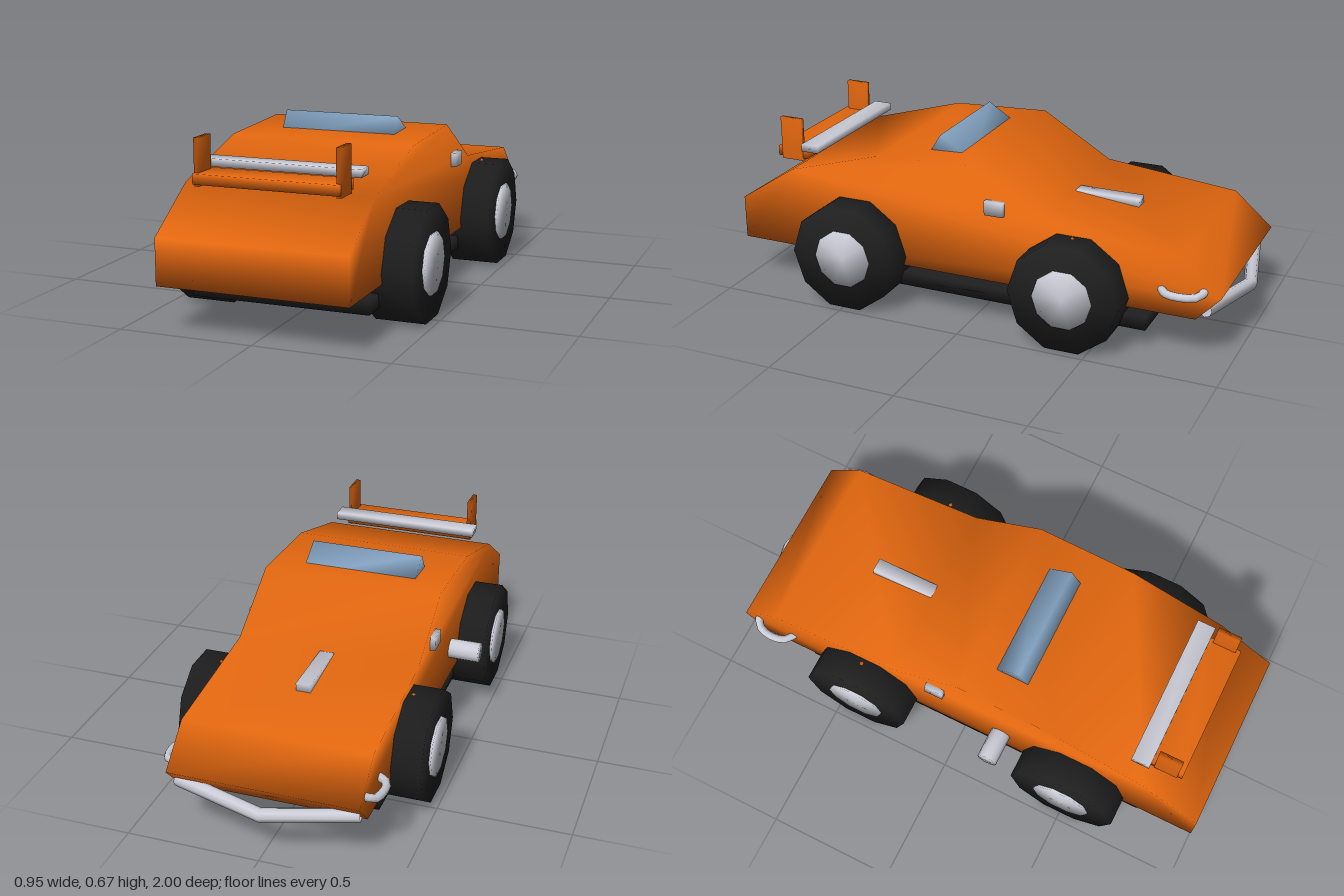
import * as THREE from 'three';
import { mergeVertices } from 'three/addons/utils/BufferGeometryUtils.js';

const mat = (name, color, side = THREE.FrontSide) => {
  const m = new THREE.MeshStandardMaterial({ color, side });
  m.name = name;
  return m;
};

// Weld the corners so shading flows softly over every edge
function smooth(geo) {
  geo.deleteAttribute('normal');
  geo.deleteAttribute('uv');
  const g = mergeVertices(geo, 1e-4);
  g.computeVertexNormals();
  return g;
}

// Side profile of [z, y] points extruded across x
function profile(points, halfWidth) {
  const shape = new THREE.Shape(points.map(([z, y]) => new THREE.Vector2(z, y)));
  const g = new THREE.ExtrudeGeometry(shape, { depth: halfWidth * 2, bevelEnabled: false });
  return g.translate(0, 0, -halfWidth).rotateY(-Math.PI / 2);
}

// Box given by its ranges on each axis
function box(x0, x1, y0, y1, z0, z1) {
  return new THREE.BoxGeometry(x1 - x0, y1 - y0, z1 - z0)
    .translate((x0 + x1) / 2, (y0 + y1) / 2, (z0 + z1) / 2);
}

// Cylinder lying along x
function axle(radius, x0, x1, y, z, sides) {
  return new THREE.CylinderGeometry(radius, radius, x1 - x0, sides)
    .rotateZ(Math.PI / 2).translate((x0 + x1) / 2, y, z);
}

function tube(points, radius, segments, tension = 0.5) {
  const curve = new THREE.CatmullRomCurve3(
    points.map((p) => new THREE.Vector3(...p)), false, 'catmullrom', tension);
  return new THREE.TubeGeometry(curve, segments, radius, 8);
}

export function createModel() {
  const car = new THREE.Group();
  car.name = 'car';
  const paint = mat('orange paint', 0xe3670f);
  const chrome = mat('chrome', 0xcbccd6, THREE.DoubleSide);
  const black = mat('black rubber', 0x1f1f1f);
  const glass = mat('blue glass', 0x84a3c2);

  const add = (name, geo, material) => {
    const mesh = new THREE.Mesh(smooth(geo), material);
    mesh.name = name;
    car.add(mesh);
  };

  // Wedge body and floor
  add('body', profile([
    [1, 0.17], [1, 0.34], [0.77, 0.49], [0.39, 0.6], [0, 0.618],
    [-0.28, 0.45], [-0.81, 0.395], [-0.96, 0.265], [-0.87, 0.17],
  ], 0.355), paint);
  add('chassis', box(-0.335, 0.335, 0.077, 0.132, -0.68, 0.77), black);
  add('windshield', profile([[0.25, 0.572], [0.19, 0.67], [0.054, 0.585]], 0.225), glass);
  add('rearDeckStrip', box(-0.028, 0.028, 0.41, 0.453, -0.54, -0.285), chrome);

  // Wing over the nose
  add('wingBar', box(-0.3, 0.3, 0.548, 0.577, 0.685, 0.757), chrome);
  add('wingPlank', box(-0.27, 0.27, 0.507, 0.545, 0.75, 0.88), paint);

  // Bumper and side exhaust
  add('bumper', tube([[-0.34, 0.205, -0.9], [0, 0.177, -0.975], [0.34, 0.205, -0.9]], 0.026, 2), chrome);
  add('exhaust', axle(0.04, -0.475, -0.33, 0.29, 0.18, 10), chrome);

  for (const s of [1, -1]) {
    const side = s > 0 ? 'left' : 'right';
    const span = (a, b) => (s > 0 ? [a, b] : [-b, -a]);
    // Wheels
    for (const [end, z] of [['Front', 0.495], ['Rear', -0.405]]) {
      add(`${side}${end}Tire`, axle(0.215, ...span(0.28, 0.468), 0.205, z, 10), black);
      add(`${side}${end}Hub`, axle(0.115, ...span(0.274, 0.476), 0.205, z, 10), chrome);
    }
    // Wing end plates, side vents, marker studs and corner hoops
    add(`${side}WingPlate`, box(...span(0.254, 0.272), 0.497, 0.667, 0.77, 0.862), paint);
    add(`${side}Vent`, box(...span(0.33, 0.375), 0.443, 0.498, -0.132, -0.058), chrome);
    add(`${side}Marker`, new THREE.OctahedronGeometry(0.018).translate(s * 0.375, 0.4, -0.408), paint);
    add(`${side}Hoop`, tube([
      [s * 0.34, 0.262, -0.735], [s * 0.385, 0.264, -0.765], [s * 0.397, 0.265, -0.825],
      [s * 0.38, 0.268, -0.88], [s * 0.34, 0.285, -0.9],
    ], 0.016, 8), chrome);
  }
  return car;
}
